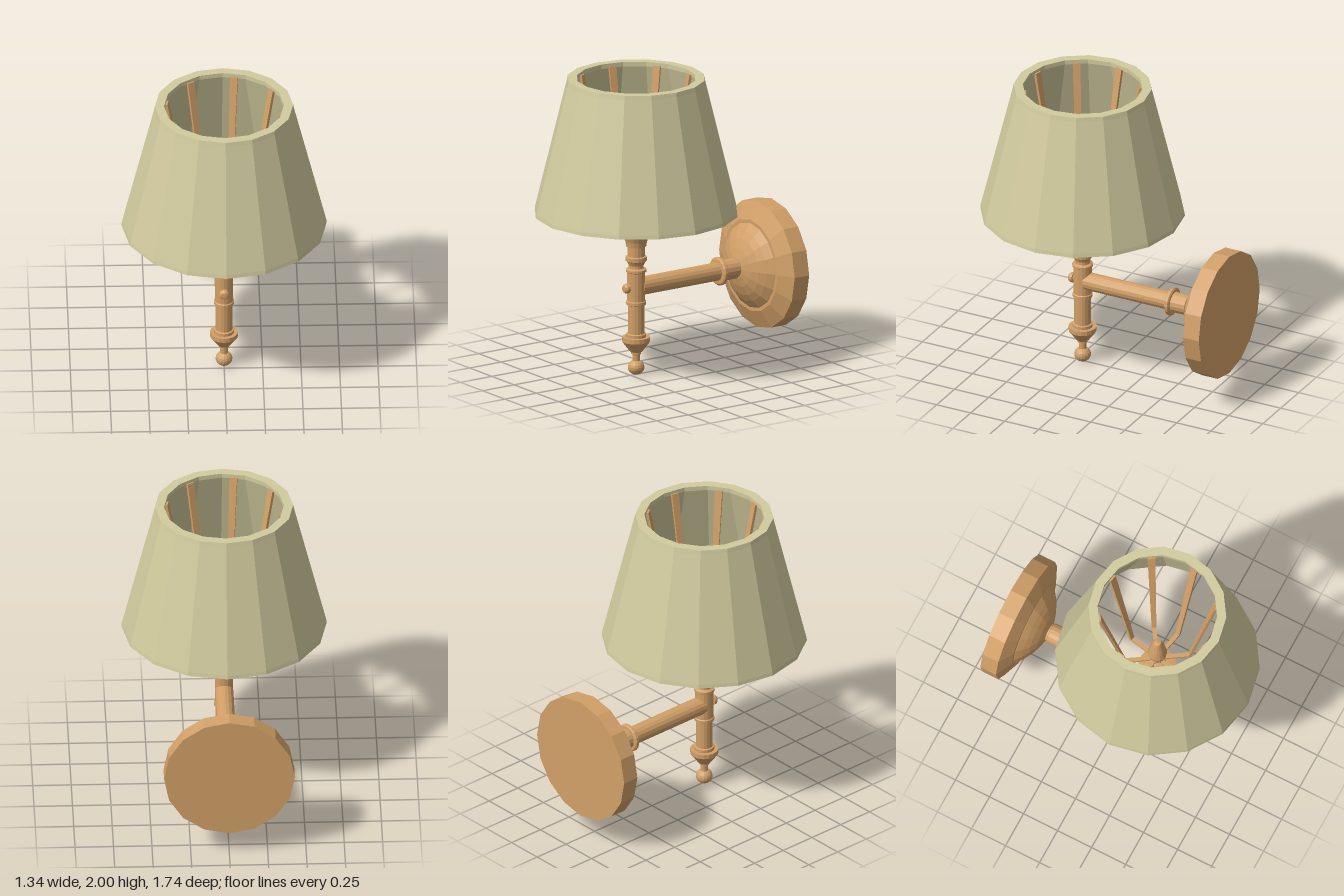
import * as THREE from 'three';

const brass = new THREE.MeshStandardMaterial({ color: 0xd2a068, flatShading: true });
brass.name = 'brass';
const cloth = new THREE.MeshStandardMaterial({ color: 0xd2cb9f, flatShading: true });
cloth.name = 'shadeCloth';

const STEM_Z = 0.205; // axis of the upright stem
const ARM_Y = 0.59; // axis of the arm and wall plate

// Turned part from [radius, height] pairs listed bottom to top
function turned(name, profile, material, sides = 16) {
  const points = profile.map(([r, h]) => new THREE.Vector2(r, h));
  const mesh = new THREE.Mesh(new THREE.LatheGeometry(points, sides), material);
  mesh.name = name;
  return mesh;
}

// Flat tapered bar between two points of the local xy plane
function bar(name, [x0, y0], [x1, y1], width0, width1, thickness) {
  const length = Math.hypot(x1 - x0, y1 - y0);
  const geometry = new THREE.BoxGeometry(thickness, length, 1);
  const pos = geometry.attributes.position;
  for (let i = 0; i < pos.count; i++) {
    pos.setZ(i, pos.getZ(i) * (pos.getY(i) > 0 ? width1 : width0));
  }
  geometry.computeVertexNormals();
  const mesh = new THREE.Mesh(geometry, brass);
  mesh.name = name;
  mesh.position.set((x0 + x1) / 2, (y0 + y1) / 2, 0);
  mesh.rotation.z = Math.atan2(y1 - y0, x1 - x0) - Math.PI / 2;
  return mesh;
}

export function createModel() {
  const lamp = new THREE.Group();
  lamp.name = 'wallLamp';

  // Upright group: everything turned around the stem axis
  const upright = new THREE.Group();
  upright.name = 'upright';
  upright.position.z = STEM_Z;
  lamp.add(upright);

  // Ball finial
  const ball = [];
  for (let i = 0; i <= 8; i++) {
    const a = -Math.PI / 2 + (i / 8) * Math.PI * 0.85;
    ball.push([Math.max(0, 0.055 * Math.cos(a)), 0.05 + 0.05 * Math.sin(a)]);
  }
  upright.add(turned('finial', [...ball, [0.025, 0.1], [0.025, 0.135], [0.033, 0.14], [0.033, 0.155], [0, 0.155]], brass));

  // Lower cup, stem and its rings
  upright.add(turned('stem', [
    [0, 0.15], [0.04, 0.155], [0.055, 0.175], [0.085, 0.215], [0.092, 0.225], [0.092, 0.255],
    [0.066, 0.255], [0.066, 0.275], [0.055, 0.28], [0.055, 0.47], [0.066, 0.475], [0.066, 0.495],
    [0.06, 0.5], [0.06, 0.69], [0.068, 0.695], [0.068, 0.71], [0.05, 0.72], [0.05, 0.74],
    [0.062, 0.765], [0.07, 0.77], [0.07, 0.795], [0.058, 0.8], [0.058, 0.87], [0, 0.87],
  ], brass));

  // Flared socket cup
  upright.add(turned('socketCup', [
    [0, 0.86], [0.066, 0.865], [0.072, 0.9], [0.088, 0.945], [0.112, 0.965], [0.122, 0.972],
    [0.122, 0.99], [0.09, 0.995], [0.09, 1.02], [0.038, 1.025], [0.038, 1.06], [0.056, 1.068],
    [0.056, 1.1], [0.04, 1.11], [0.04, 1.15], [0, 1.15],
  ], brass));

  // Bulb
  upright.add(turned('bulb', [
    [0, 1.13], [0.04, 1.14], [0.058, 1.19], [0.063, 1.23], [0.05, 1.31], [0.034, 1.38], [0.025, 1.41], [0, 1.415],
  ], brass));

  // Hollow lamp shade with a thin lower edge and a wider upper rim
  upright.add(turned('shade', [
    [0.668, 1.09], [0.664, 1.115], [0.456, 1.97], [0.45, 2], [0.39, 2], [0.39, 1.97], [0.65, 1.09], [0.668, 1.09],
  ], cloth));

  // Eight bent spokes carrying the shade
  for (let i = 0; i < 8; i++) {
    const spoke = new THREE.Group();
    spoke.name = 'shadeSpoke';
    spoke.rotation.y = -(i + 0.25) * Math.PI / 4;
    spoke.add(bar('spokeFoot', [0.03, 1.12], [0.22, 1.12], 0.025, 0.03, 0.018));
    spoke.add(bar('spokeRiser', [0.212, 1.115], [0.378, 1.98], 0.03, 0.05, 0.018));
    upright.add(spoke);
  }

  // Horizontal group: local y runs along z, towards the front
  const bracket = new THREE.Group();
  bracket.name = 'bracket';
  bracket.position.y = ARM_Y;
  bracket.rotation.x = Math.PI / 2;
  lamp.add(bracket);

  // Wall plate with bevel, groove and dome
  bracket.add(turned('wallPlate', [
    [0, -0.872], [0.425, -0.872], [0.425, -0.757], [0.307, -0.703], [0.283, -0.703], [0.275, -0.696],
    [0.235, -0.665], [0.19, -0.637], [0.13, -0.61], [0.07, -0.592], [0, -0.585],
  ], brass));

  // Arm with collar near the wall
  bracket.add(turned('arm', [
    [0, -0.6], [0.06, -0.59], [0.06, -0.58], [0.068, -0.575], [0.068, -0.47], [0.085, -0.47],
    [0.094, -0.463], [0.094, -0.445], [0.085, -0.438], [0.06, -0.435], [0.06, 0.18], [0, 0.205],
  ], brass));

  // Small knob on the front of the stem
  bracket.add(turned('knob', [
    [0, 0.2], [0.022, 0.2], [0.022, 0.268], [0.033, 0.27], [0.033, 0.29], [0.022, 0.302], [0, 0.304],
  ], brass, 12));

  return lamp;
}
